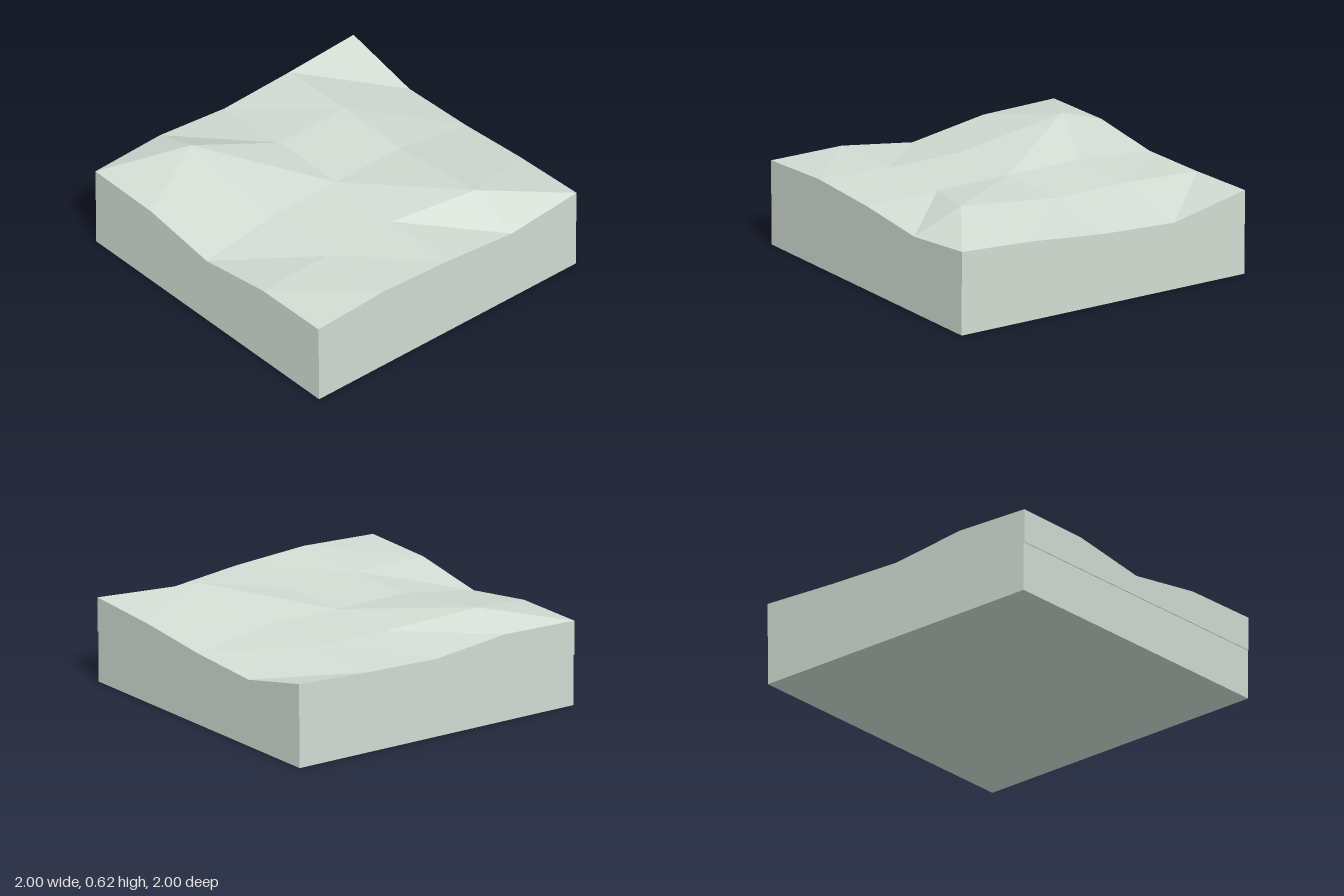
import * as THREE from 'three';

const SEAM = 0.31; // height where the terrain block meets the base
const N = 4;       // grid cells per side

// Surface heights, rows from back (z = -1) to front (z = 1)
const HEIGHTS = [
  [0.52, 0.535, 0.48, 0.495, 0.52],
  [0.515, 0.625, 0.52, 0.52, 0.413],
  [0.44, 0.52, 0.52, 0.52, 0.44],
  [0.515, 0.52, 0.52, 0.60, 0.49],
  [0.52, 0.545, 0.52, 0.472, 0.52],
];

function gridPoint(i, j) {
  let z = -1 + j * 0.5;
  // The two peaks are pulled towards the back and front edges
  if (i === 1 && j === 1) z = -0.72;
  if (i === 3 && j === 3) z = 0.67;
  return [-1 + i * 0.5, HEIGHTS[j][i], z];
}

function terrainGeometry() {
  const positions = [];
  const quad = (a, b, c, d) => positions.push(...a, ...b, ...c, ...a, ...c, ...d);
  const drop = (p) => [p[0], SEAM, p[2]];

  // Rolling top surface, each cell split from back left to front right
  for (let j = 0; j < N; j++) {
    for (let i = 0; i < N; i++) {
      quad(gridPoint(i, j), gridPoint(i, j + 1), gridPoint(i + 1, j + 1), gridPoint(i + 1, j));
    }
  }

  // Vertical walls around the rim: front, right, back, left
  const rim = [];
  for (let k = 0; k < N; k++) rim.push(gridPoint(k, N));
  for (let k = 0; k < N; k++) rim.push(gridPoint(N, N - k));
  for (let k = 0; k < N; k++) rim.push(gridPoint(N - k, 0));
  for (let k = 0; k < N; k++) rim.push(gridPoint(0, k));
  rim.forEach((p, k) => {
    const q = rim[(k + 1) % rim.length];
    quad(drop(p), drop(q), q, p);
  });

  // Underside
  quad([-1, SEAM, -1], [1, SEAM, -1], [1, SEAM, 1], [-1, SEAM, 1]);

  const geometry = new THREE.BufferGeometry();
  geometry.setAttribute('position', new THREE.Float32BufferAttribute(positions, 3));
  geometry.computeVertexNormals();
  return geometry;
}

export function createModel() {
  const group = new THREE.Group();
  group.name = 'terrainTile';
  const material = new THREE.MeshStandardMaterial({ color: 0xd3ddd4, flatShading: true });

  const terrain = new THREE.Mesh(terrainGeometry(), material);
  terrain.name = 'snowSurface';
  group.add(terrain);

  // Base block, a touch narrower than the terrain
  const base = new THREE.Mesh(new THREE.BoxGeometry(1.99, SEAM, 2), material);
  base.name = 'base';
  base.position.y = SEAM / 2;
  group.add(base);

  return group;
}
